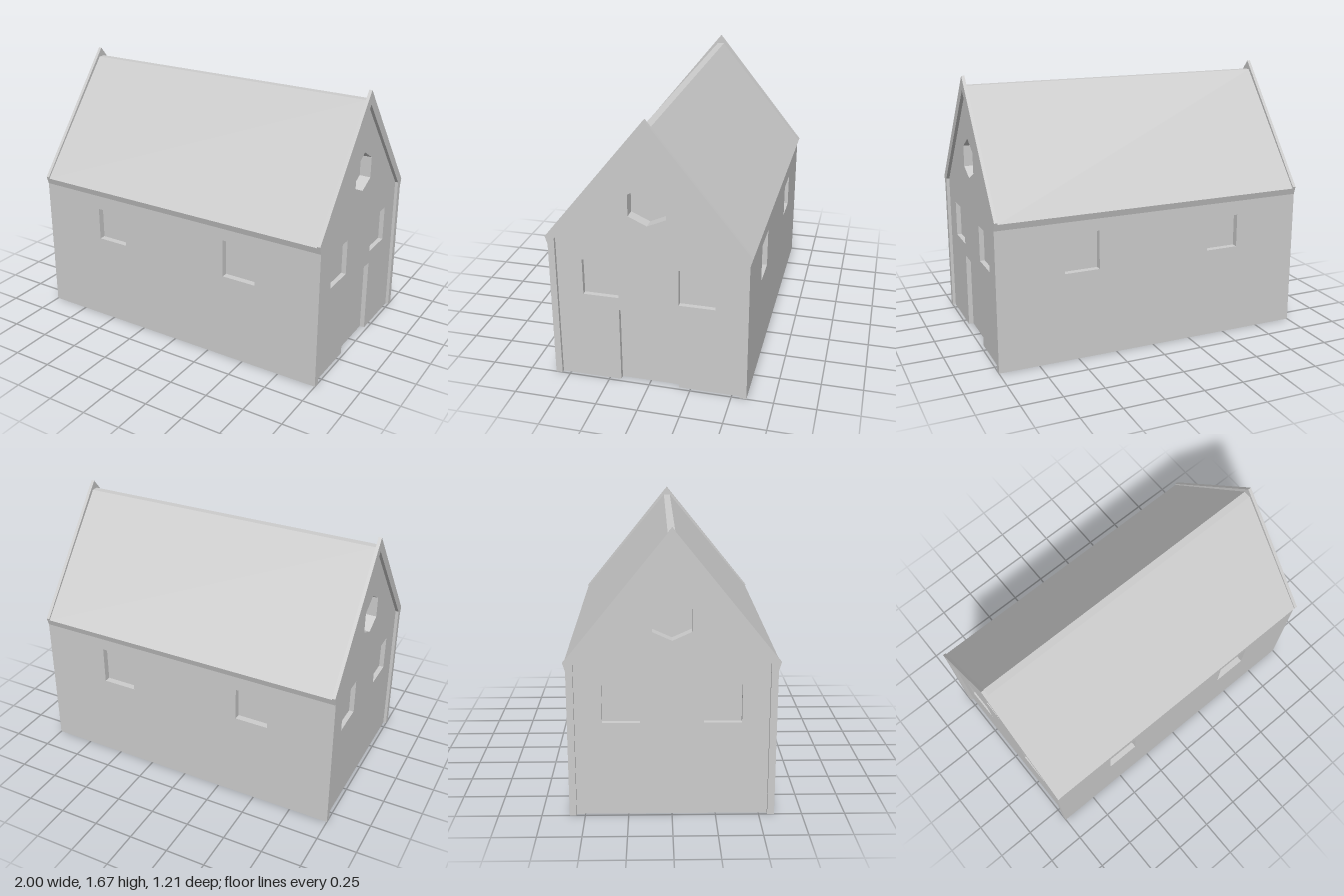
import * as THREE from 'three';

const plaster = new THREE.MeshStandardMaterial({ color: 0xcccccc, side: THREE.DoubleSide });
plaster.name = 'plain grey';

const END = 0.98;   // x of the recessed gable faces
const FRAME = 0.02; // thickness of the gable frames

const toShape = (pts) => new THREE.Shape(pts.map(([x, y]) => new THREE.Vector2(x, y)));
const rect = (x0, x1, y0, y1) => [[x0, y0], [x1, y0], [x1, y1], [x0, y1]];

function part(name, geometry) {
  const mesh = new THREE.Mesh(geometry, plaster);
  mesh.name = name;
  return mesh;
}

// Flat-shaded strip of quads joining two equally long rows of points
function strip(a, b) {
  const pos = [];
  for (let i = 0; i < a.length - 1; i++) {
    pos.push(...a[i], ...b[i], ...b[i + 1], ...a[i], ...b[i + 1], ...a[i + 1]);
  }
  const geo = new THREE.BufferGeometry();
  geo.setAttribute('position', new THREE.Float32BufferAttribute(pos, 3));
  geo.computeVertexNormals();
  return geo;
}

// Recessed opening: side reveals plus a pane set back by depth
function recess(name, pts, depth, closed = true) {
  const group = new THREE.Group();
  group.name = name;
  const path = closed ? [...pts, pts[0]] : pts;
  group.add(part(name + 'Reveal', strip(
    path.map(([x, y]) => [x, y, 0]),
    path.map(([x, y]) => [x, y, -depth]))));
  const pane = part(name + 'Pane', new THREE.ShapeGeometry(toShape(pts)));
  pane.position.z = -depth;
  group.add(pane);
  return group;
}

// Wall facing +z with recessed openings cut into it
function wall(name, outline, openings) {
  const group = new THREE.Group();
  group.name = name;
  const shape = toShape(outline);
  for (const o of openings) {
    shape.holes.push(new THREE.Path(o.pts.map(([x, y]) => new THREE.Vector2(x, y))));
    group.add(recess(o.name, o.pts, o.depth));
  }
  group.add(part(name + 'Face', new THREE.ShapeGeometry(shape)));
  return group;
}

// Long wall with a smaller and a larger window; side = 1 front, -1 back
function longWall(name, side) {
  const span = (x0, x1, y0, y1) =>
    side > 0 ? rect(x0, x1, y0, y1) : rect(-x1, -x0, y0, y1);
  const group = wall(name, rect(-END, END, 0, 0.87), [
    { name: 'smallWindow', pts: span(-0.58, -0.37, 0.57, 0.78), depth: 0.04 },
    { name: 'largeWindow', pts: span(0.36, 0.58, 0.555, 0.795), depth: 0.04 },
  ]);
  group.position.z = side * 0.59;
  group.rotation.y = side > 0 ? 0 : Math.PI;
  return group;
}

// Gable end: raised frame, recessed face, windows and optional door
function gable(name, side, hasDoor) {
  const door = [[-0.18, 0], [-0.18, 0.48], [0.18, 0.48], [0.18, 0]];
  const outline = [[-0.55, 0], ...(hasDoor ? door : []),
    [0.55, 0], [0.55, 0.91], [0, 1.58], [-0.55, 0.91]];
  const hexagon = [[0, 1.285], [-0.11, 1.22], [-0.11, 1.09],
    [0, 1.04], [0.11, 1.09], [0.11, 1.22]];
  const group = wall(name, outline, [
    { name: 'gableWindow', pts: rect(-0.395, -0.18, 0.56, 0.785), depth: 0.03 },
    { name: 'gableWindow', pts: rect(0.18, 0.395, 0.56, 0.785), depth: 0.03 },
    { name: 'hexagonWindow', pts: hexagon, depth: 0.07 },
  ]);
  if (hasDoor) group.add(recess('door', door, 0.03, false));

  const frame = toShape([
    [0.59, 0], [0.59, 0.87], [0.605, 0.92], [0, 1.667], [-0.605, 0.92], [-0.59, 0.87], [-0.59, 0],
    [-0.55, 0], [-0.55, 0.91], [0, 1.58], [0.55, 0.91], [0.55, 0],
  ]);
  group.add(part('gableFrame', new THREE.ExtrudeGeometry(frame, { depth: FRAME, bevelEnabled: false })));
  group.position.x = side * END;
  group.rotation.y = side * Math.PI / 2;
  return group;
}

export function createModel() {
  const house = new THREE.Group();
  house.name = 'house';
  house.add(longWall('frontWall', 1), longWall('backWall', -1));
  house.add(gable('doorGable', 1, true), gable('plainGable', -1, false));

  // Sloping eaves, roof slopes and flat ridge, swept between the gables
  const profile = [[0.87, 0.59], [0.91, 0.602], [1.61, 0.022],
    [1.61, -0.022], [0.91, -0.602], [0.87, -0.59]];
  const names = ['frontEave', 'frontRoof', 'ridge', 'backRoof', 'backEave'];
  names.forEach((name, i) => {
    const edge = profile.slice(i, i + 2);
    house.add(part(name, strip(
      edge.map(([y, z]) => [-END, y, z]),
      edge.map(([y, z]) => [END, y, z]))));
  });
  return house;
}
